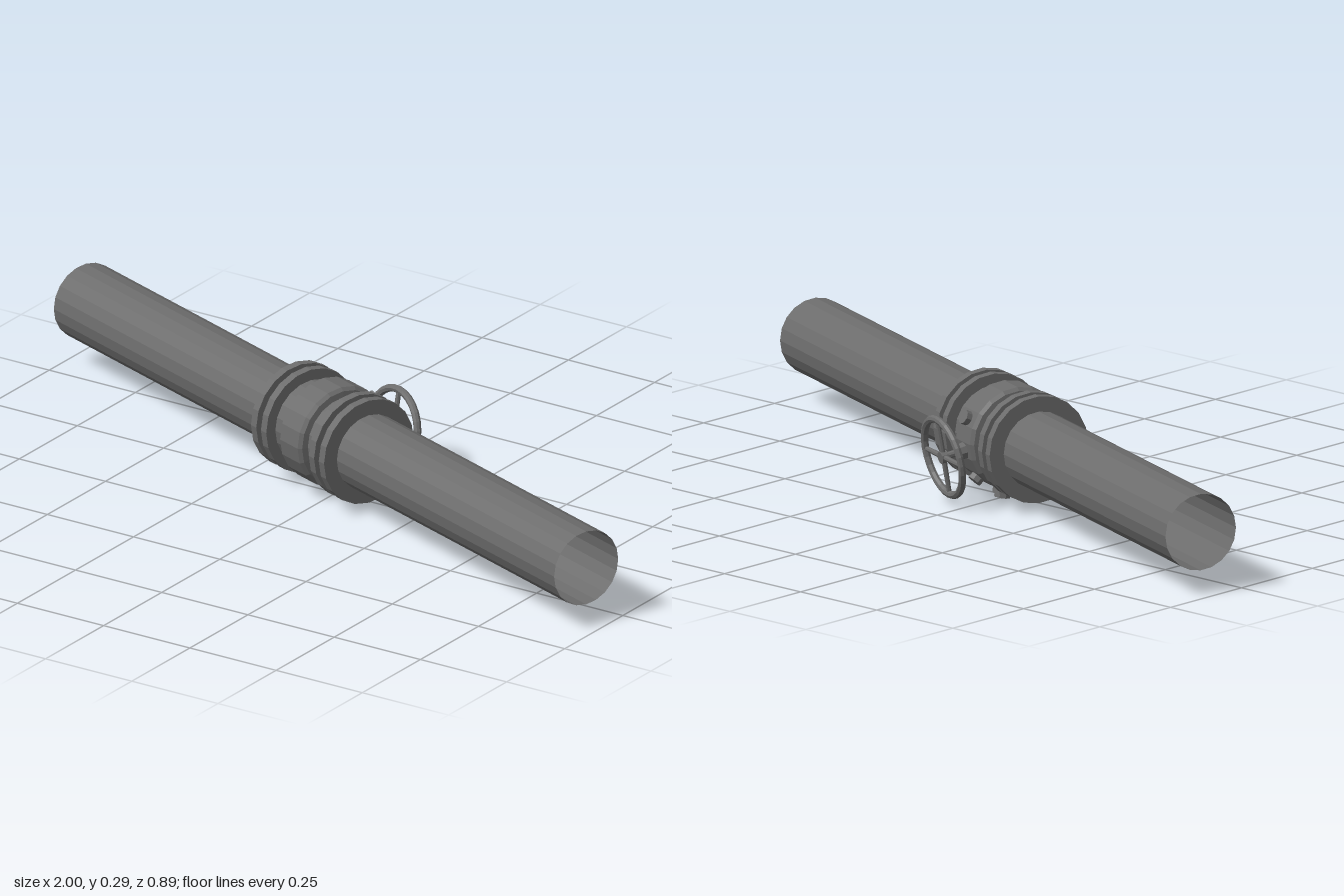
import * as THREE from 'three';

const material = new THREE.MeshStandardMaterial({ color: 0x6c6c6c, flatShading: true, side: THREE.DoubleSide });
const MID = -0.015; // valve centre along the pipe
const SIDES = 20;
const STEM_ANGLE = -100;
const deg = THREE.MathUtils.degToRad;

function add(parent, name, geometry, x = 0, y = 0, z = 0) {
  const mesh = new THREE.Mesh(geometry, material);
  mesh.name = name;
  mesh.position.set(x, y, z);
  parent.add(mesh);
  return mesh;
}

// Group whose +y points away from the pipe axis at the given angle
function radialGroup(parent, name, angle) {
  const group = new THREE.Group();
  group.name = name;
  group.position.x = MID;
  group.rotation.x = deg(angle);
  parent.add(group);
  return group;
}

// Turned part along the pipe axis from [radius, offset] pairs
function turned(parent, name, points, x) {
  const profile = points.map(([r, u]) => new THREE.Vector2(r, u));
  const mesh = add(parent, name, new THREE.LatheGeometry(profile, SIDES), x);
  mesh.rotation.z = -Math.PI / 2;
}

export function createModel() {
  const model = new THREE.Group();
  model.name = 'pipeWithValve';
  const line = new THREE.Group();
  line.name = 'pipeline';
  line.position.y = 0.153;
  line.rotation.y = -deg(20.3);
  model.add(line);

  // Open-ended pipe
  const pipe = add(line, 'pipe', new THREE.CylinderGeometry(0.095, 0.095, 2.06, SIDES, 1, true));
  pipe.rotation.z = -Math.PI / 2;

  // Valve body: wide belt with slight chamfers between two necks
  turned(line, 'valveBody', [
    [0.106, -0.095], [0.106, -0.046], [0.121, -0.044], [0.129, -0.036],
    [0.129, 0.036], [0.121, 0.044], [0.106, 0.046], [0.106, 0.095],
  ], MID);

  // Paired flanges with a recessed gasket between
  for (const side of [-1, 1]) {
    for (const [name, offset] of [['innerFlange', 0.0985], ['outerFlange', 0.1395]]) {
      turned(line, name, [[0.094, -0.011], [0.133, -0.011], [0.133, 0.011], [0.094, 0.011]], MID + side * offset);
    }
    turned(line, 'gasket', [[0.11, -0.01], [0.11, 0.01]], MID + side * 0.119);
  }

  // Small bosses on the body either side of the stem
  for (const side of [-1, 1]) {
    const boss = radialGroup(line, 'sideBoss', STEM_ANGLE + side * 36);
    add(boss, 'bossBase', new THREE.CylinderGeometry(0.018, 0.018, 0.02, 8), 0, 0.132, 0);
  }

  // Drain plug underneath
  const plug = radialGroup(line, 'drainPlug', -171);
  add(plug, 'plugBoss', new THREE.CylinderGeometry(0.026, 0.026, 0.024, 8), 0, 0.13, 0);
  add(plug, 'plugHead', new THREE.CylinderGeometry(0.02, 0.02, 0.016, 8), 0, 0.144, 0);

  // Bonnet, stem and handwheel at the back
  const control = radialGroup(line, 'handwheelAssembly', STEM_ANGLE);
  add(control, 'bonnet', new THREE.CylinderGeometry(0.02, 0.022, 0.025, 8), 0, 0.133, 0);
  add(control, 'stem', new THREE.CylinderGeometry(0.009, 0.009, 0.06, 10), 0, 0.16, 0);
  add(control, 'wheelHub', new THREE.CylinderGeometry(0.015, 0.015, 0.018, 12), 0, 0.184, 0);
  const rim = add(control, 'wheelRim', new THREE.TorusGeometry(0.096, 0.0095, 8, 28), 0, 0.184, 0);
  rim.rotation.x = Math.PI / 2;
  for (let i = 0; i < 4; i++) {
    const arm = new THREE.Group();
    arm.name = 'wheelSpoke';
    arm.rotation.y = i * Math.PI / 2;
    control.add(arm);
    const spoke = add(arm, 'spokeBar', new THREE.CylinderGeometry(0.006, 0.007, 0.084, 8), 0.053, 0.184, 0);
    spoke.rotation.z = -Math.PI / 2;
  }

  return model;
}
